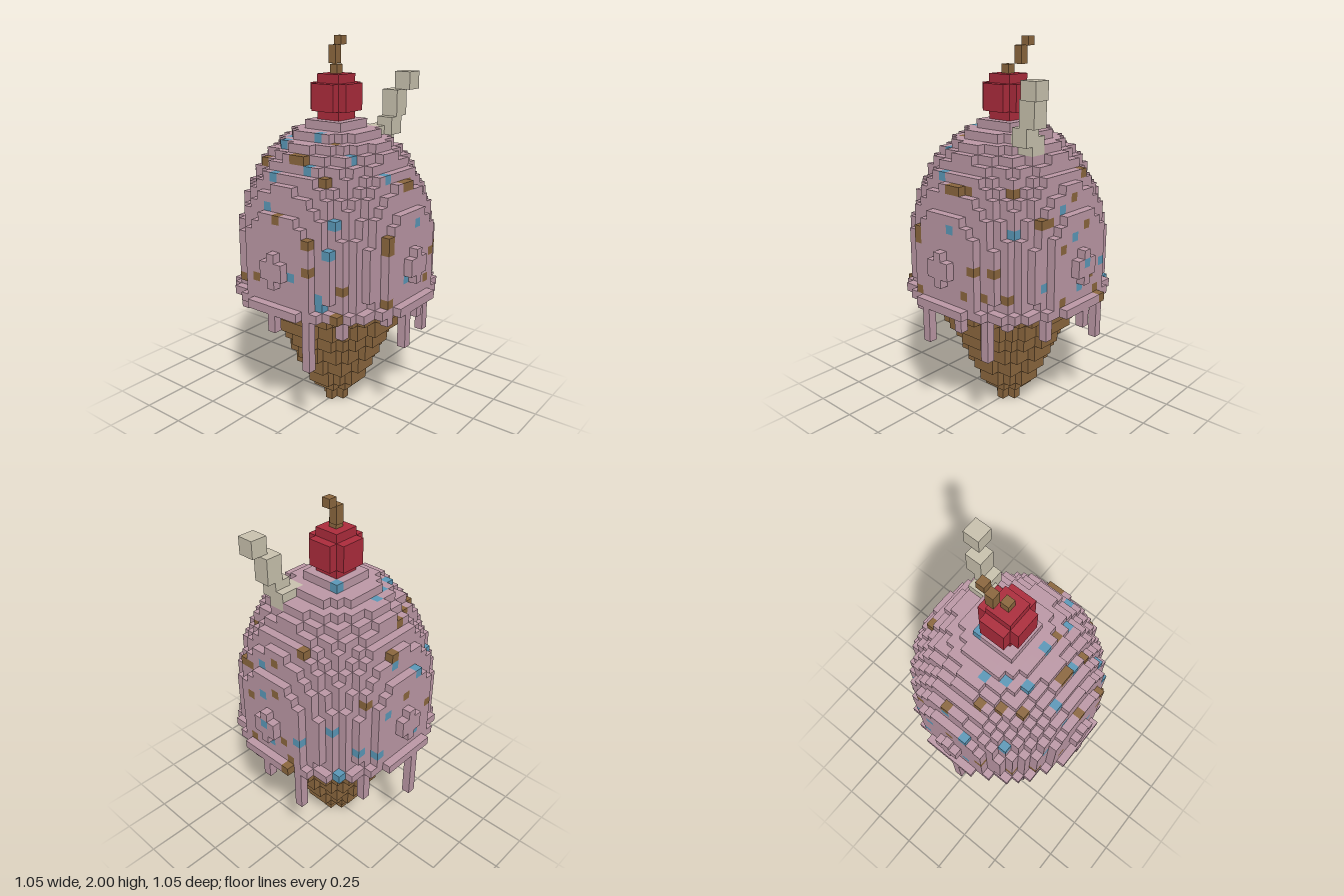
import * as THREE from 'three';

const V = 2 / 44; // voxel edge

const mat = (name, color) => {
  const m = new THREE.MeshStandardMaterial({ color });
  m.name = name;
  return m;
};

export function createModel() {
  const pink = mat('pink ice cream', 0xbc98a6);
  const brown = mat('wafer brown', 0x8b673e);
  const blue = mat('sprinkle blue', 0x5b98b8);
  const red = mat('cherry red', 0xac2c3c);
  const cream = mat('straw cream', 0xc9c2ae);
  const materials = {
    cone: brown, scoop: pink, drips: pink, blueSprinkles: blue, brownSprinkles: brown,
    cherry: red, stem: brown, straw: cream,
  };

  // voxel grid: x and z centred on 0, y counted from the ground
  const cells = new Map();
  const key = (x, y, z) => `${x},${y},${z}`;
  const get = (x, y, z) => cells.get(key(x, y, z));
  const set = (x, y, z, part) => cells.set(key(x, y, z), part);
  const box = (part, x0, x1, y0, y1, z0, z1) => {
    for (let x = x0; x <= x1; x++)
      for (let y = y0; y <= y1; y++)
        for (let z = z0; z <= z1; z++) set(x, y, z, part);
  };
  const disc = (part, y, r) => {
    const n = Math.floor(r);
    for (let x = -n; x <= n; x++)
      for (let z = -n; z <= n; z++) if (x * x + z * z <= r * r) set(x, y, z, part);
  };

  // stepped cone
  [1, 1, 2, 3, 3, 4, 4, 5, 5, 6, 6, 7, 7, 8, 8].forEach((n, y) => disc('cone', y, n + 0.3));

  // scoop: wide rim below a tall ellipsoid
  disc('scoop', 15, 11.5);
  for (let y = 16; y < 35; y++) disc('scoop', y, 11.08 * Math.sqrt(1 - ((y - 19.5) / 15) ** 2));

  // drips: x, z, lowest row
  [[-10, 4, 9], [-2, 11, 11], [5, 9, 10], [9, 4, 12], [10, -4, 10], [11, 0, 13], [5, -9, 11],
    [-1, -11, 9], [-8, -7, 13], [-11, 0, 13], [2, 10, 13], [7, 8, 14], [-8, 7, 13], [-4, 10, 14],
  ].forEach(([x, z, y]) => box('drips', x, x, y, 14, z, z));

  // sprinkles: recolour the outermost scoop voxel along a direction
  const sprinkle = (part, list, at) => list.forEach(([a, b]) => {
    for (let d = 44; d >= -12; d--) {
      const p = at(a, b, d), c = get(...p);
      if (c === 'scoop') set(...p, part);
      if (c === 'scoop' || c === 'blueSprinkles' || c === 'brownSprinkles') return;
    }
  });
  const front = (x, y, d) => [x, y, d];
  const back = (x, y, d) => [x, y, -d];
  const leftSide = (z, y, d) => [d, y, z];
  const rightSide = (z, y, d) => [-d, y, z];
  const top = (x, z, d) => [x, d, z];
  sprinkle('blueSprinkles', [[-2, -10], [-6, -8], [8, -8], [-1, -5], [-3, -4], [-5, -3], [-8, -2],
    [2, -2], [-4, 1], [-7, 2], [-4, 5], [-9, 6], [-8, 6], [-2, 8]], top);
  sprinkle('brownSprinkles', [[1, -9], [-2, -7], [-4, -6], [-6, -5], [11, -3], [-7, 0], [-4, 3],
    [-7, 4], [-9, 7], [0, 9], [-4, 10]], top);
  sprinkle('blueSprinkles', [[-4, 31], [-2, 29], [-8, 25], [-9, 22], [1, 24], [-1, 18], [-9, 16]], front);
  sprinkle('brownSprinkles', [[-7, 31], [-7, 29], [0, 28], [2, 28], [6, 28], [-4, 22], [-10, 20], [9, 25],
    [4, 20], [6, 20], [3, 17], [5, 17], [7, 17], [-8, 18], [-4, 16]], front);
  sprinkle('blueSprinkles', [[2, 26], [7, 24], [1, 23], [0, 20], [5, 18], [0, 17], [-4, 19], [-7, 21],
    [-3, 15], [-10, 17], [-8, 15]], leftSide);
  sprinkle('brownSprinkles', [[9, 28], [4, 25], [6, 28], [0, 27], [-3, 29], [-1, 24], [3, 22], [10, 20],
    [9, 20], [-2, 18], [3, 16], [-3, 16]], leftSide);
  sprinkle('blueSprinkles', [[-6, 25], [3, 22], [-2, 17], [6, 18], [1, 27]], back);
  sprinkle('brownSprinkles', [[-4, 20], [5, 24], [0, 23], [-7, 17]], back);
  sprinkle('blueSprinkles', [[-5, 22], [2, 19], [5, 17], [-2, 26]], rightSide);
  sprinkle('brownSprinkles', [[-3, 18], [4, 23], [0, 25], [-6, 17]], rightSide);

  // straw leaning out of the scoop
  box('straw', 4, 6, 32, 33, 2, 3);
  box('straw', 5, 6, 33, 34, 3, 4);
  box('straw', 6, 7, 35, 37, 3, 4);
  box('straw', 7, 8, 38, 39, 4, 5);

  // cherry and its crooked stem
  for (let y = -2; y <= 2; y++) disc('cherry', 37 + y, Math.sqrt(6.5 - y * y));
  set(0, 40, 0, 'stem');
  box('stem', 1, 1, 41, 42, -1, -1);
  set(2, 43, -1, 'stem');

  // gather the exposed faces of each part
  const faces = {};
  for (const [k, part] of cells) {
    const p = k.split(',').map(Number);
    const f = (faces[part] ??= { pos: [], nor: [] });
    for (let axis = 0; axis < 3; axis++) {
      for (const s of [-1, 1]) {
        const n = [0, 0, 0];
        n[axis] = s;
        if (get(p[0] + n[0], p[1] + n[1], p[2] + n[2])) continue;
        const u = (axis + 1) % 3, w = (axis + 2) % 3;
        const quad = [[-1, -1], [1, -1], [1, 1], [-1, -1], [1, 1], [-1, 1]];
        for (const [a, b] of quad) {
          const c = [p[0], p[1] + 0.5, p[2]];
          c[axis] += s * 0.5;
          c[u] += a * s * 0.5;
          c[w] += b * 0.5;
          f.pos.push(c[0] * V, c[1] * V, c[2] * V);
          f.nor.push(...n);
        }
      }
    }
  }

  const group = new THREE.Group();
  group.name = 'iceCreamCone';
  for (const [part, { pos, nor }] of Object.entries(faces)) {
    const g = new THREE.BufferGeometry();
    g.setAttribute('position', new THREE.Float32BufferAttribute(pos, 3));
    g.setAttribute('normal', new THREE.Float32BufferAttribute(nor, 3));
    const mesh = new THREE.Mesh(g, materials[part]);
    mesh.name = part;
    group.add(mesh);
  }
  return group;
}
